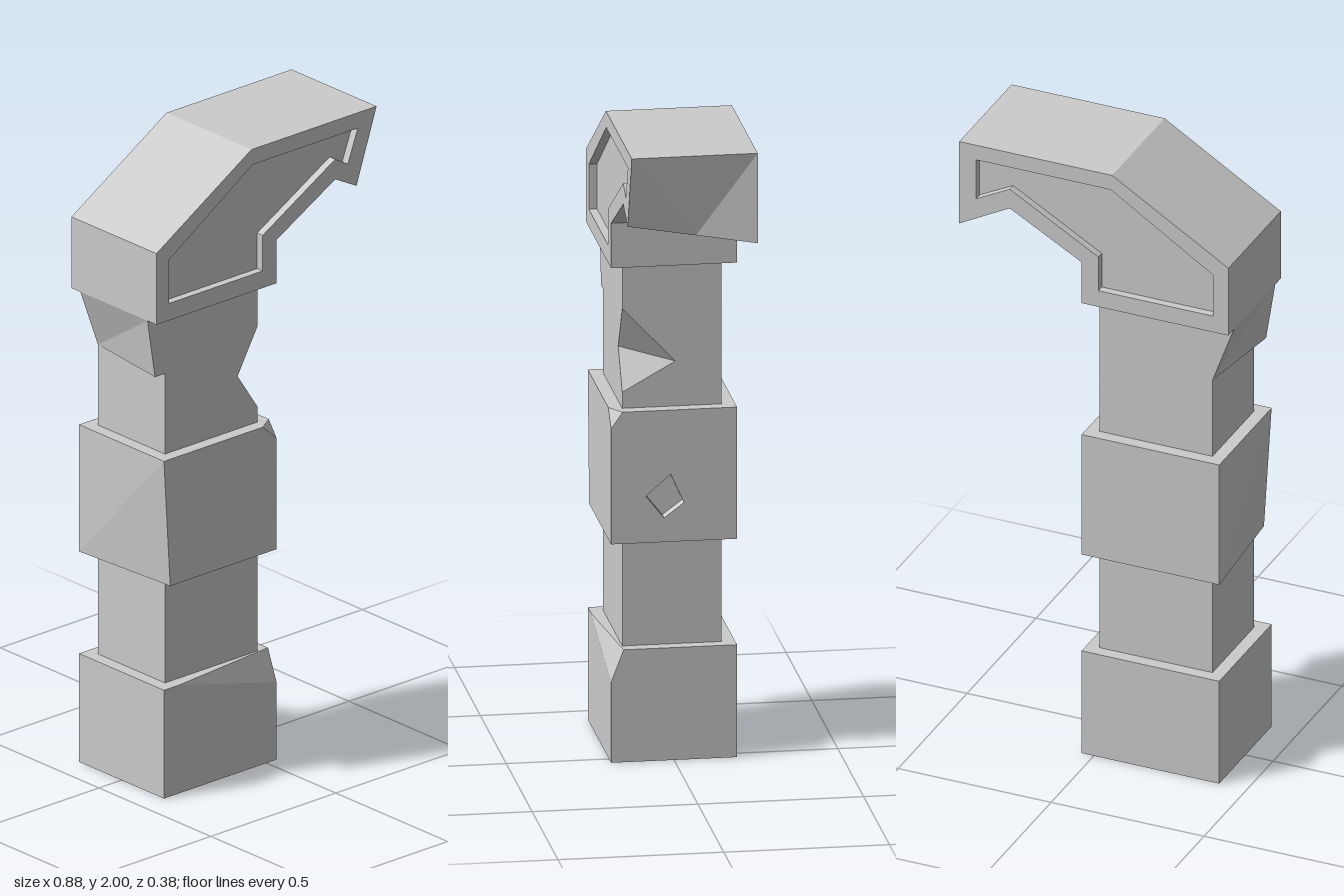
import * as THREE from 'three';

const material = new THREE.MeshStandardMaterial({ color: 0xcccccc, flatShading: true });
const V = (p) => new THREE.Vector3(...p);

// Triangulate one planar face (corners anticlockwise from outside), optionally with a hole
function triangulate(outer, hole) {
  const normal = new THREE.Vector3();
  outer.forEach((p, i) => normal.add(V(p).cross(V(outer[(i + 1) % outer.length]))));
  const size = normal.toArray().map(Math.abs);
  const drop = size.indexOf(Math.max(...size));
  const flat = (pts) => pts.map((p) => new THREE.Vector2(...p.filter((_, k) => k !== drop)));
  const all = hole ? [...outer, ...hole] : outer;
  return THREE.ShapeUtils.triangulateShape(flat(outer), hole ? [flat(hole)] : []).flatMap((t) => {
    const [a, b, c] = t.map((i) => V(all[i]));
    const n = b.clone().sub(a).cross(c.clone().sub(a));
    return n.dot(normal) < 0 ? [a, c, b] : [a, b, c];
  });
}

// Faceted mesh from a list of faces: either [corners] or { outer, hole }
function solid(name, faces) {
  const points = faces.flatMap((f) => (Array.isArray(f) ? triangulate(f) : triangulate(f.outer, f.hole)));
  const geometry = new THREE.BufferGeometry().setFromPoints(points);
  geometry.computeVertexNormals();
  const mesh = new THREE.Mesh(geometry, material);
  mesh.name = name;
  return mesh;
}

// Face with a sunken panel: rim, walls and floor
function recessed(outer, hole, push) {
  const floor = hole.map((p) => p.map((v, k) => v + push[k]));
  const walls = hole.map((p, i) => {
    const j = (i + 1) % hole.length;
    return [p, hole[j], floor[j], floor[i]];
  });
  return [{ outer, hole }, ...walls, floor];
}

// Square block with one corner broken off; worn pulls in the lower front edge
function chippedBlock(name, y0, y1, [cx, cy, cz], worn = 0, hole = null) {
  const x0 = -0.41, x1 = 0.04, z = 0.19;
  const a = [cx, y1, z], b = [x1, cy, z], c = [x1, y1, cz];
  const lowFront = [x0 + worn, y0, z], lowBack = [x0, y0, -z];
  const topFront = [x0, y1, z], topBack = [x0, y1, -z];
  const rightLowFront = [x1, y0, z], rightLowBack = [x1, y0, -z], rightTopBack = [x1, y1, -z];
  const right = [rightLowFront, rightLowBack, rightTopBack, c, b];
  return solid(name, [
    [lowFront, rightLowFront, b, a, topFront],
    [topFront, a, c, rightTopBack, topBack],
    [a, b, c],
    [rightLowBack, lowBack, topBack, rightTopBack],
    [lowBack, lowFront, topFront],
    [lowBack, topFront, topBack],
    [lowBack, rightLowBack, rightLowFront, lowFront],
    ...(hole ? recessed(right, hole, [-0.035, 0, 0]) : [right]),
  ]);
}

// Shaft with a wedge knocked out of its front edge
function makeShaft() {
  const x0 = -0.37, x1 = 0, z = 0.15, y0 = 0.3, y1 = 1.56;
  const top = [x1, 1.4, z], low = [x1, 1.14, z], p = [-0.08, 1.26, z], q = [x1, 1.23, -0.01];
  return solid('shaft', [
    [[x0, y0, z], [x1, y0, z], low, p, top, [x1, y1, z], [x0, y1, z]],
    [[x1, y0, z], [x1, y0, -z], [x1, y1, -z], [x1, y1, z], top, q, low],
    [top, p, q],
    [low, q, p],
    [[x1, y0, -z], [x0, y0, -z], [x0, y1, -z], [x1, y1, -z]],
    [[x0, y0, -z], [x0, y0, z], [x0, y1, z], [x0, y1, -z]],
  ]);
}

// Tapered wedge under the outer side of the head
function makeBracket() {
  const a = [-0.44, 1.54, -0.15], b = [-0.44, 1.54, 0.15];
  const c = [-0.41, 1.35, 0.15], d = [-0.37, 1.35, -0.15];
  const e = [-0.37, 1.35, 0.15], f = [-0.37, 1.54, 0.15], g = [-0.37, 1.54, -0.15];
  return solid('bracket', [[d, c, b], [d, b, a], [c, e, f, b], [d, a, g], [d, e, c]]);
}

// Angled head with a broken end and a sunken panel on each side
function makeHead() {
  const outline = (tip, z) => [[-0.44, 1.54], [0.04, 1.54], [0.04, 1.68], [0.275, 1.81], tip,
    [0.44, 2], [-0.06, 2], [-0.44, 1.77]].map((p) => [...p, z]);
  const panel = (tip, top, z) => [[-0.39, 1.595], [-0.015, 1.595], [-0.015, 1.71], [0.275, 1.875], tip,
    top, [-0.055, 1.95], [-0.39, 1.735]].map((p) => [...p, z]);
  const front = outline([0.36, 1.765], 0.19), back = outline([0.44, 1.72], -0.19);
  const frontPanel = panel([0.325, 1.845], [0.365, 1.95], 0.19);
  const backPanel = panel([0.385, 1.817], [0.385, 1.95], -0.19);
  const faces = [
    ...recessed(front, frontPanel, [0, 0, -0.025]),
    ...recessed([...back].reverse(), backPanel.reverse(), [0, 0, 0.025]),
  ];
  const middle = [0.4, 1.741, -0.01];
  front.forEach((p, i) => {
    const j = (i + 1) % front.length;
    if (i === 4) faces.push([p, middle, front[j]], [middle, back[j], front[j]], [middle, back[i], back[j]]);
    else faces.push([p, back[i], back[j], front[j]]);
  });
  return solid('head', faces);
}

export function createModel() {
  const group = new THREE.Group();
  group.name = 'pillar';
  const diamond = [[0.04, 0.89, 0.01], [0.04, 0.825, 0.085], [0.04, 0.755, 0.03], [0.04, 0.8, -0.03]];
  group.add(
    chippedBlock('base', 0, 0.35, [-0.35, 0.25, 0.152]),
    chippedBlock('middleBlock', 0.68, 1.09, [-0.015, 1.04, 0.155], 0.025, diamond),
    makeShaft(),
    makeBracket(),
    makeHead(),
  );
  return group;
}
